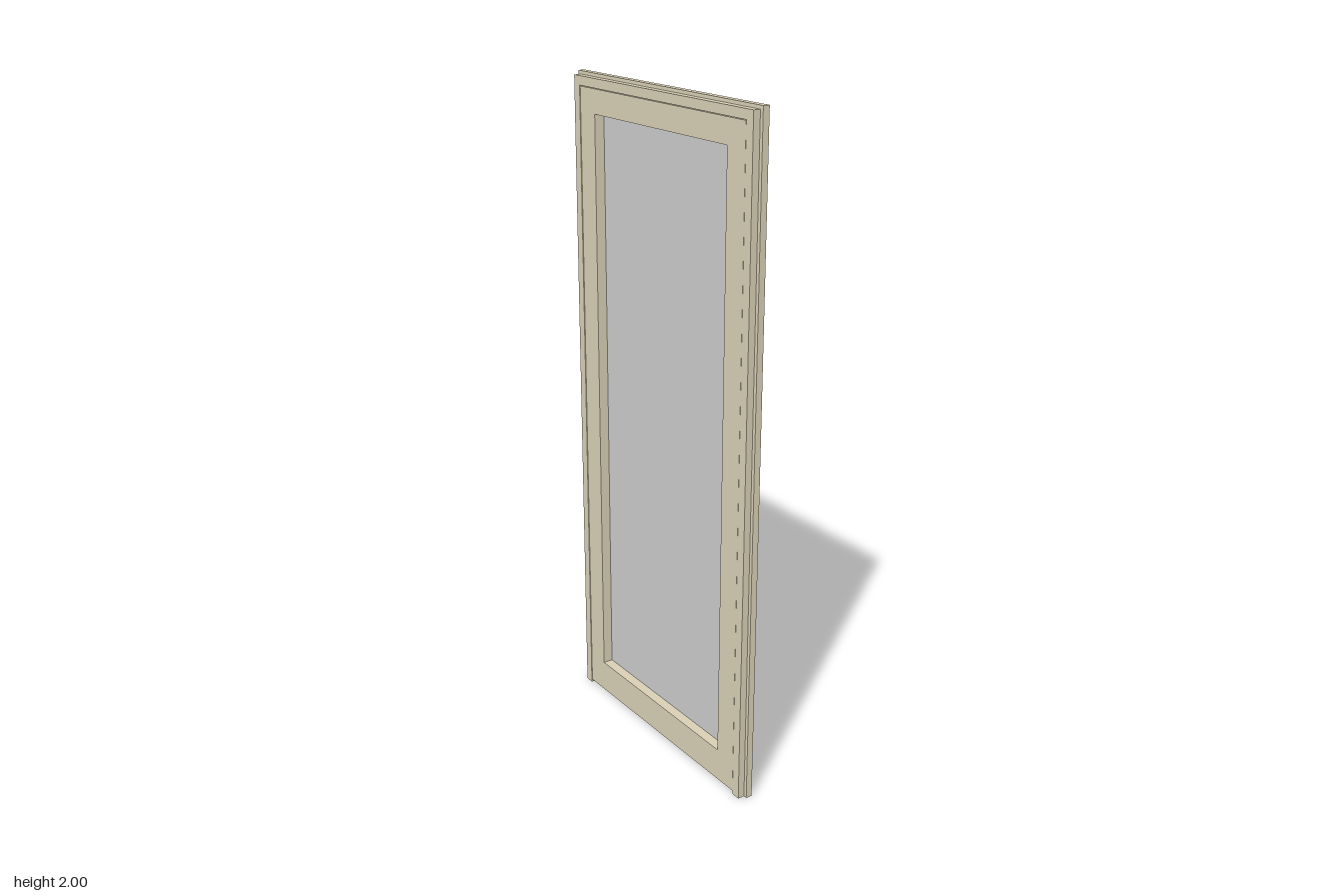
import * as THREE from 'three';

const paint = new THREE.MeshStandardMaterial({ color: 0xd8cfb4 });
const grey = new THREE.MeshStandardMaterial({ color: 0xcccccc });

// Extrudes a (width, height) outline through the door thickness, from x0 to x1
function slab(name, shape, x0, x1) {
  const geo = new THREE.ExtrudeGeometry(shape, { depth: x1 - x0, bevelEnabled: false });
  geo.rotateY(Math.PI / 2);
  geo.translate(x0, 0, 0);
  const mesh = new THREE.Mesh(geo, paint);
  mesh.name = name;
  return mesh;
}

const outline = (pts) => new THREE.Shape(pts.map(([u, v]) => new THREE.Vector2(u, v)));

// Two jambs and a head, open at the floor
const surround = (w, h, iw, ih) => outline([
  [-w, 0], [-iw, 0], [-iw, ih], [iw, ih], [iw, 0], [w, 0], [w, h], [-w, h],
]);

// Closed rectangular ring
function ring(w, y0, y1, iw, iy0, iy1) {
  const s = outline([[-w, y0], [w, y0], [w, y1], [-w, y1]]);
  s.holes.push(outline([[-iw, iy0], [-iw, iy1], [iw, iy1], [iw, iy0]]));
  return s;
}

export function createModel() {
  const door = new THREE.Group();
  door.name = 'glazedDoor';

  // Fixed frame in three stepped layers
  const frame = new THREE.Group();
  frame.name = 'frame';
  frame.add(
    slab('frameInnerLayer', surround(0.415, 1.99, 0.387, 1.963), -0.025, -0.004),
    slab('frameFlange', surround(0.426, 2.0, 0.367, 1.943), -0.004, 0.016),
    slab('frameOuterLayer', surround(0.411, 1.987, 0.367, 1.943), 0.016, 0.022),
  );

  // Rebated leaf: wider on the inner side, narrower on the outer side
  const leaf = new THREE.Group();
  leaf.name = 'leaf';
  leaf.add(
    slab('leafInnerLayer', ring(0.385, 0.01, 1.961, 0.31, 0.11, 1.89), -0.024, -0.004),
    slab('leafOuterLayer', ring(0.365, 0.01, 1.941, 0.31, 0.11, 1.89), -0.004, 0.021),
  );

  // Glass pane set close to the outer face
  const glass = new THREE.Mesh(new THREE.BoxGeometry(0.008, 1.78, 0.62), grey);
  glass.name = 'glassPane';
  glass.position.set(0.011, 1.0, 0);
  leaf.add(glass);

  door.add(frame, leaf);
  return door;
}
